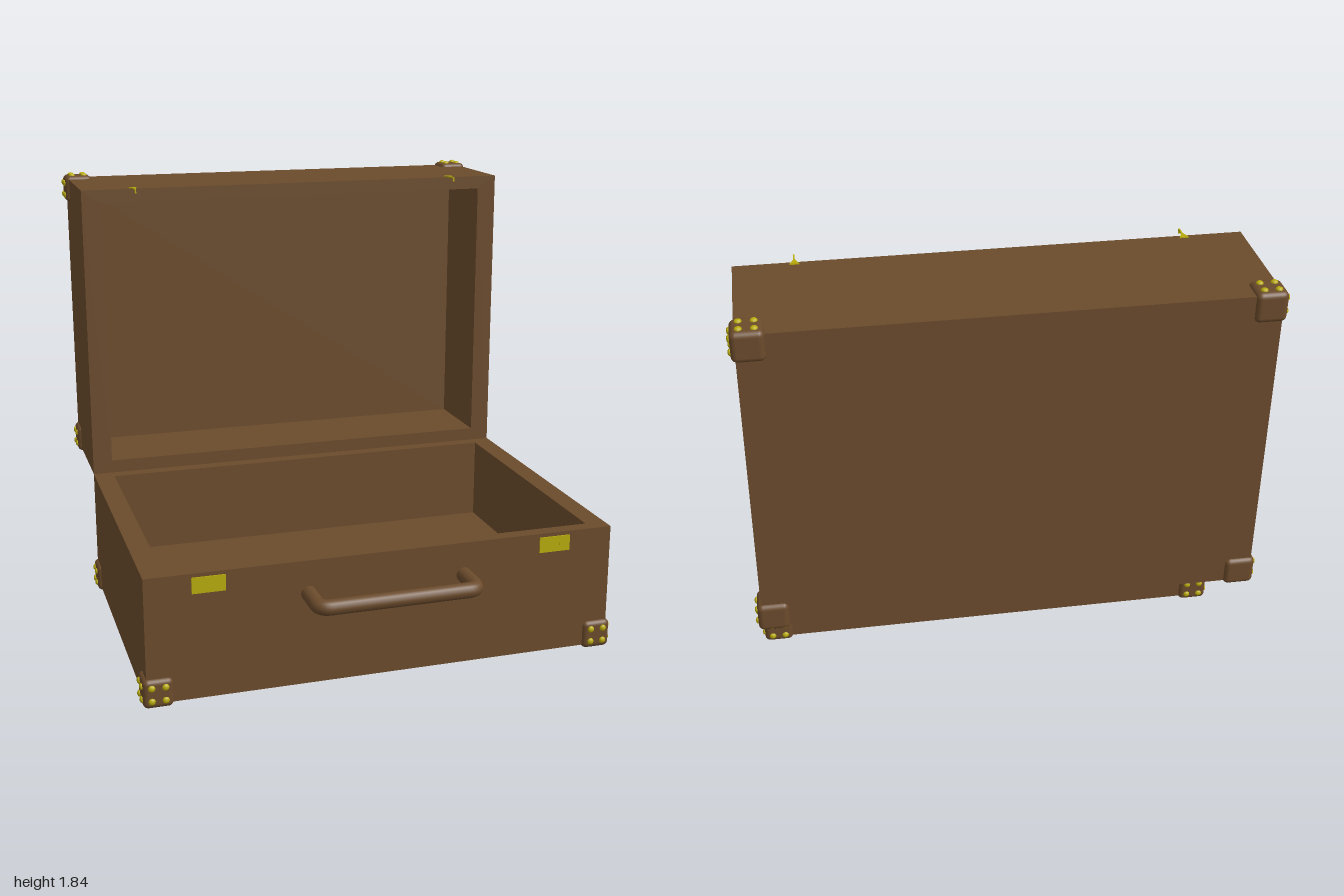
import * as THREE from 'three';
import { RoundedBoxGeometry } from 'three/addons/geometries/RoundedBoxGeometry.js';

const W = 0.965, D = 0.515, L = 1.285; // half width, depth and length of one case half

export function createModel() {
  const leather = new THREE.MeshStandardMaterial({ color: 0x6b4b2c });
  leather.name = 'brownLeather';
  const brass = new THREE.MeshStandardMaterial({ color: 0xb8ab0c });
  brass.name = 'yellowBrass';

  const model = new THREE.Group();
  const add = (parent, name, geometry, material, x = 0, y = 0, z = 0) => {
    const mesh = new THREE.Mesh(geometry, material);
    mesh.name = name;
    mesh.position.set(x, y, z);
    parent.add(mesh);
    return mesh;
  };

  const shellGeo = shellGeometry();
  const cornerGeo = new RoundedBoxGeometry(0.12, 0.12, 0.12, 3, 0.022);
  const rivetGeo = new THREE.SphereGeometry(0.014, 12, 8);

  // One half of the case: rim at y = 0, hinge along z = 0
  function caseHalf(name) {
    const half = new THREE.Group();
    half.name = name;
    half.position.set(0, 0.53, -0.47);
    add(half, 'shell', shellGeo, leather);
    for (const sx of [-1, 1]) for (const sz of [-1, 1]) {
      const corner = new THREE.Group();
      corner.name = 'cornerGuard';
      corner.position.set(sx * 0.92, -0.47, L / 2 + sz * 0.5975);
      add(corner, 'cornerCap', cornerGeo, leather);
      // Four rivets on the side face and four on the end face
      for (const a of [-0.027, 0.027]) for (const b of [-0.027, 0.027]) {
        add(corner, 'sideRivet', rivetGeo, brass, sx * 0.06, a, b).scale.x = 0.7;
        add(corner, 'endRivet', rivetGeo, brass, a, b, sz * 0.06).scale.z = 0.7;
      }
      half.add(corner);
    }
    model.add(half);
    return half;
  }
  caseHalf('base');
  // The lid is the same half, swung open so its depth points backwards
  caseHalf('lid').quaternion.setFromAxisAngle(new THREE.Vector3(0, 1, 1).normalize(), Math.PI);

  // Carrying handle
  const v = (x, z) => new THREE.Vector3(x, 0.395, z);
  const hx = 0.322, hz = 0.968, r = 0.045;
  const path = new THREE.CurvePath();
  path.add(new THREE.LineCurve3(v(-hx, 0.8), v(-hx, hz - r)));
  path.add(new THREE.QuadraticBezierCurve3(v(-hx, hz - r), v(-hx, hz), v(-hx + r, hz)));
  path.add(new THREE.LineCurve3(v(-hx + r, hz), v(hx - r, hz)));
  path.add(new THREE.QuadraticBezierCurve3(v(hx - r, hz), v(hx, hz), v(hx, hz - r)));
  path.add(new THREE.LineCurve3(v(hx, hz - r), v(hx, 0.8)));
  add(model, 'handle', new THREE.TubeGeometry(path, 90, 0.031, 16), leather);

  // Latch plates on the base and hooked hasps on the lid
  const wedge = new THREE.Shape([
    new THREE.Vector2(-0.018, 0.018), new THREE.Vector2(0, -0.022), new THREE.Vector2(0.018, 0.018)]);
  const wedgeGeo = new THREE.ExtrudeGeometry(wedge, { depth: 0.006, bevelEnabled: false });
  wedgeGeo.rotateX(-Math.PI / 2);
  for (const s of [-1, 1]) {
    add(model, 'latchPlate', new THREE.BoxGeometry(0.132, 0.065, 0.008), brass, s * 0.715, 0.482, 0.816);
    add(model, 'latchPin', new THREE.BoxGeometry(0.006, 0.012, 0.006), brass, s * 0.737, 0.482, 0.819);
    add(model, 'haspPlate', wedgeGeo, brass, s * 0.737, 1.814, -0.473);
    add(model, 'haspArm', new THREE.BoxGeometry(0.006, 0.006, 0.065), brass, s * 0.737, 1.817, -0.449);
    add(model, 'haspHook', new THREE.BoxGeometry(0.006, 0.016, 0.006), brass, s * 0.737, 1.809, -0.419);
  }
  return model;
}

// Open box built from rectangular loops: outer bottom, outer rim, inner rim, inner floor
function shellGeometry() {
  const ring = (x, y, z0, z1) => [[x, y, z1], [x, y, z0], [-x, y, z0], [-x, y, z1]];
  const rings = [
    ring(W, -D, 0, L), ring(W, 0, 0, L),
    ring(0.88, 0, 0.057, L - 0.057), ring(0.88, -0.36, 0.057, L - 0.057)];
  const pos = [];
  const quad = (a, b, c, d) => pos.push(...a, ...b, ...c, ...a, ...c, ...d);
  for (let k = 0; k < 3; k++) for (let i = 0; i < 4; i++) {
    const j = (i + 1) % 4;
    quad(rings[k][i], rings[k][j], rings[k + 1][j], rings[k + 1][i]);
  }
  quad(...[...rings[0]].reverse());
  quad(...rings[3]);
  const geometry = new THREE.BufferGeometry();
  geometry.setAttribute('position', new THREE.Float32BufferAttribute(pos, 3));
  geometry.computeVertexNormals();
  return geometry;
}
